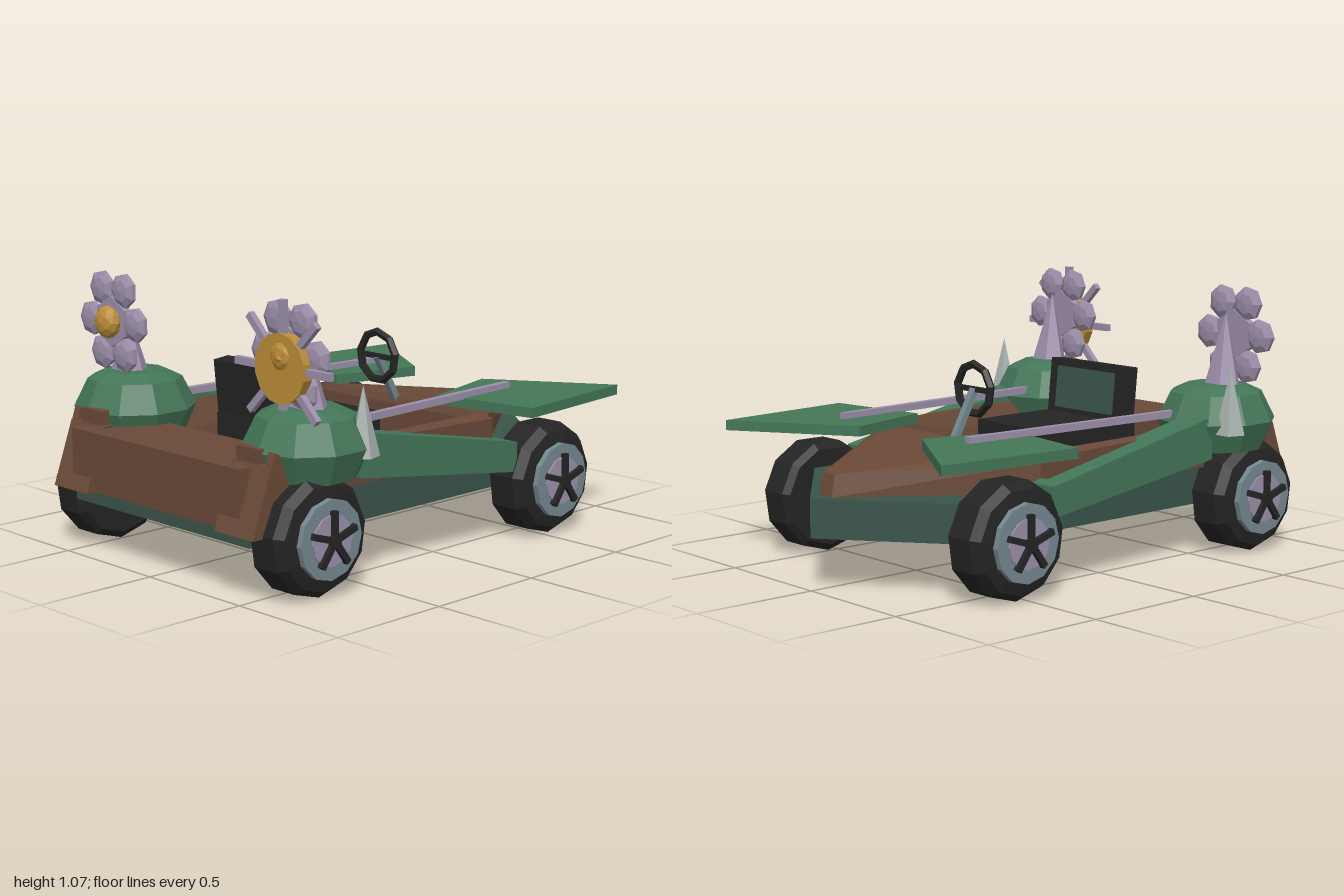
import * as THREE from 'three';
import { ConvexGeometry } from 'three/addons/geometries/ConvexGeometry.js';

const paint = (name, color) => {
  const m = new THREE.MeshStandardMaterial({ color, flatShading: true });
  m.name = name;
  return m;
};
const V = (x, y, z) => new THREE.Vector3(x, y, z);

export function createModel() {
  const model = new THREE.Group();
  model.name = 'flowerKart';
  const darkGreen = paint('dark green', 0x3a544a);
  const leafGreen = paint('leaf green', 0x447658);
  const brown = paint('bark brown', 0x6a4a38);
  const black = paint('black', 0x242424);
  const lilac = paint('lilac', 0x9d90ab);
  const gold = paint('gold', 0xbd8d38);
  const steel = paint('steel blue', 0x748890);
  const pale = paint('pale thorn', 0xa9b3af);

  const add = (parent, name, geo, mat, x = 0, y = 0, z = 0) => {
    const m = new THREE.Mesh(geo, mat);
    m.name = name;
    m.position.set(x, y, z);
    parent.add(m);
    return m;
  };
  const box = (w, h, d) => new THREE.BoxGeometry(w, h, d);
  const hull = (pts) => new ConvexGeometry(pts.map((p) => V(...p)));
  const plate = (plan, y0, y1) => hull(plan.flatMap(([x, z]) => [[x, y0, z], [x, y1, z]]));
  // straight square bar between two points
  const bar = (parent, name, a, b, t, mat) => {
    const m = add(parent, name, box(t, t, a.distanceTo(b)), mat);
    m.position.copy(a).add(b).multiplyScalar(0.5);
    m.lookAt(b);
    return m;
  };

  // Pointed floor pan
  add(model, 'chassis', plate([[0, -1], [0.5, -0.61], [0.5, 0.95], [-0.5, 0.95], [-0.5, -0.61]], 0.2, 0.35), darkGreen);

  // Tapered wooden hood
  const hood = [];
  for (const s of [-1, 1]) {
    hood.push([s * 0.04, 0.35, -0.93], [s * 0.035, 0.435, -0.91], [s * 0.5, 0.35, -0.29],
      [s * 0.41, 0.5, -0.3], [s * 0.5, 0.47, -0.29]);
  }
  add(model, 'hood', hull(hood), brown);

  // Wooden end wall and deck
  add(model, 'deck', box(0.96, 0.18, 0.32), brown, 0, 0.4, 0.82);
  add(model, 'lowerWall', box(1.14, 0.1, 0.24), brown, 0, 0.3, 0.84);

  // Seat
  const seat = new THREE.Group();
  seat.name = 'seat';
  model.add(seat);
  add(seat, 'cushion', box(0.43, 0.165, 0.47), black, -0.005, 0.4325, 0.235);
  const back = add(seat, 'backrest', box(0.43, 0.25, 0.075), black, -0.005, 0.605, 0.435);
  back.rotation.x = 0.1;
  add(back, 'backPanel', box(0.33, 0.17, 0.009), darkGreen, 0, 0.01, -0.042);

  // Steering wheel and column
  add(model, 'steeringWheel', new THREE.TorusGeometry(0.1, 0.017, 5, 9), black, 0, 0.68, -0.2).rotation.z = Math.PI / 18;
  add(model, 'steeringSpoke', box(0.19, 0.02, 0.016), black, 0, 0.68, -0.2);
  bar(model, 'steeringColumn', V(0, 0.68, -0.2), V(0, 0.46, -0.32), 0.027, steel);

  // Wheel lying along +x, outer face at +x
  const makeWheel = () => {
    const wheel = new THREE.Group();
    wheel.name = 'wheel';
    const tyre = new THREE.LatheGeometry(
      [[0, -0.09], [0.2, -0.09], [0.226, -0.07], [0.226, 0.045], [0.2, 0.08], [0.15, 0.09], [0, 0.09]]
        .map(([r, y]) => new THREE.Vector2(r, y)), 11);
    tyre.rotateZ(-Math.PI / 2);
    tyre.rotateX(Math.PI / 2);
    add(wheel, 'tyre', tyre, black);
    const disc = (name, r, x, d, mat) =>
      add(wheel, name, new THREE.CylinderGeometry(r, r, d, 12).rotateZ(Math.PI / 2), mat, x);
    disc('rim', 0.15, 0.1, 0.025, steel);
    disc('hubPlate', 0.097, 0.115, 0.009, lilac);
    disc('hub', 0.025, 0.125, 0.03, black);
    for (let i = 0; i < 5; i++) {
      const spoke = add(wheel, 'spoke', box(0.022, 0.11, 0.024).translate(0, 0.055, 0), black, 0.126);
      spoke.rotation.x = (i * Math.PI * 2) / 5;
    }
    return wheel;
  };

  // Six lumpy petals round a faceted gold heart
  const makeFlower = () => {
    const flower = new THREE.Group();
    flower.name = 'flower';
    for (let i = 0; i < 6; i++) {
      const a = (i * Math.PI) / 3;
      const petal = add(flower, 'petal', new THREE.SphereGeometry(0.072, 7, 5).rotateX(Math.PI / 2), lilac,
        Math.cos(a) * 0.133, Math.sin(a) * 0.145, 0);
      petal.scale.z = 0.36;
    }
    add(flower, 'petalBase', new THREE.CylinderGeometry(0.1, 0.1, 0.03, 6).rotateX(Math.PI / 2), lilac);
    add(flower, 'heart', new THREE.IcosahedronGeometry(0.065, 1), gold, 0, 0, 0.03).scale.z = 0.65;
    return flower;
  };

  const shellProfile = [[0, 0.42], [0.19, 0.42], [0.24, 0.535], [0.185, 0.645], [0.12, 0.675], [0, 0.68]]
    .map(([r, y]) => new THREE.Vector2(r, y));

  for (const s of [-1, 1]) {
    const side = new THREE.Group();
    side.name = s > 0 ? 'leftSide' : 'rightSide';
    model.add(side);

    for (const z of [0.73, -0.54]) {
      const wheel = makeWheel();
      wheel.position.set(s * 0.58, 0.227, z);
      if (s < 0) wheel.rotation.y = Math.PI;
      side.add(wheel);
    }

    // Cockpit rail, rising gently toward the deck
    add(side, 'rail', hull([-0.3, 0.75].flatMap((z) => [[0.43, 0.35, z], [0.53, 0.35, z], [0.535, z < 0 ? 0.49 : 0.52, z],
      [z < 0 ? 0.46 : 0.5, z < 0 ? 0.5 : 0.52, z]]).map(([x, y, z]) => [s * x, y, z])), brown);

    // Slanted corner board with a chipped upper step
    add(side, 'cornerBoard', hull([[0.37, 0.25, 1], [0.575, 0.25, 1], [0.575, 0.5, 0.91], [0.37, 0.5, 0.91],
      [0.37, 0.25, 0.96], [0.575, 0.25, 0.96], [0.575, 0.5, 0.87], [0.37, 0.5, 0.87]]
      .map(([x, y, z]) => [s * x, y, z])), brown);
    add(side, 'cornerChip', box(0.12, 0.09, 0.04), brown, s * 0.45, 0.51, 0.89);
    add(side, 'cornerCheek', hull([[0.25, 0.99], [0.25, 0.8], [0.5, 0.8], [0.55, 0.89]]
      .flatMap(([y, z]) => [[s * 0.54, y, z], [s * 0.575, y, z]])), brown);

    // Tapered side arm from the shell to the rear wheel
    add(side, 'sideArm', hull([[0.4, 0.5], [0.57, 0.5], [0.4, -0.35], [0.28, -0.35]]
      .flatMap(([y, z]) => [[s * 0.5, y, z], [s * 0.62, y, z]])), leafGreen);

    // Leaf fin above the rear wheel
    add(side, 'leafFin', plate([[0.66, -0.92], [0.19, -0.62], [0.29, -0.25], [0.72, -0.32]]
      .map(([x, z]) => [s * x, z]), 0.515, 0.555), leafGreen);
    bar(side, 'finRod', V(s * 0.38, 0.565, -0.56), V(s * 0.435, 0.565, 0.47), 0.028, lilac);

    // Bulb over the front wheel, with thorn and horn
    add(side, 'bulb', new THREE.LatheGeometry(shellProfile, 10), leafGreen, s * 0.49, 0, 0.66);
    add(side, 'thorn', new THREE.ConeGeometry(0.062, 0.26, 5), pale, s * 0.668, 0.63, 0.55);
    const horn = [[s * 0.51, 0.96, 0.69]];
    for (let i = 0; i < 6; i++) {
      const a = (i * Math.PI) / 3;
      horn.push([s * 0.51 + Math.cos(a) * 0.085, 0.66, 0.67 + Math.sin(a) * 0.07]);
    }
    add(side, 'horn', hull(horn), lilac);

    const flower = makeFlower();
    flower.position.set(s > 0 ? 0.49 : -0.52, 0.87, 0.735);
    side.add(flower);
  }

  // Gold sun disc with rays on the left flower
  const sun = new THREE.Group();
  sun.name = 'sunDisc';
  sun.position.set(0.487, 0.825, 0.77);
  model.add(sun);
  add(sun, 'disc', new THREE.CylinderGeometry(0.13, 0.13, 0.04, 14).rotateX(Math.PI / 2), gold);
  add(sun, 'discPoint', new THREE.ConeGeometry(0.04, 0.025, 5).rotateX(Math.PI / 2), gold, 0.01, 0.04, 0.03);
  for (let i = 0; i < 8; i++) {
    const ray = add(sun, 'ray', box(0.028, 0.15, 0.024).translate(0, 0.172, 0), lilac);
    ray.rotation.z = (i * Math.PI) / 4;
  }
  return model;
}
